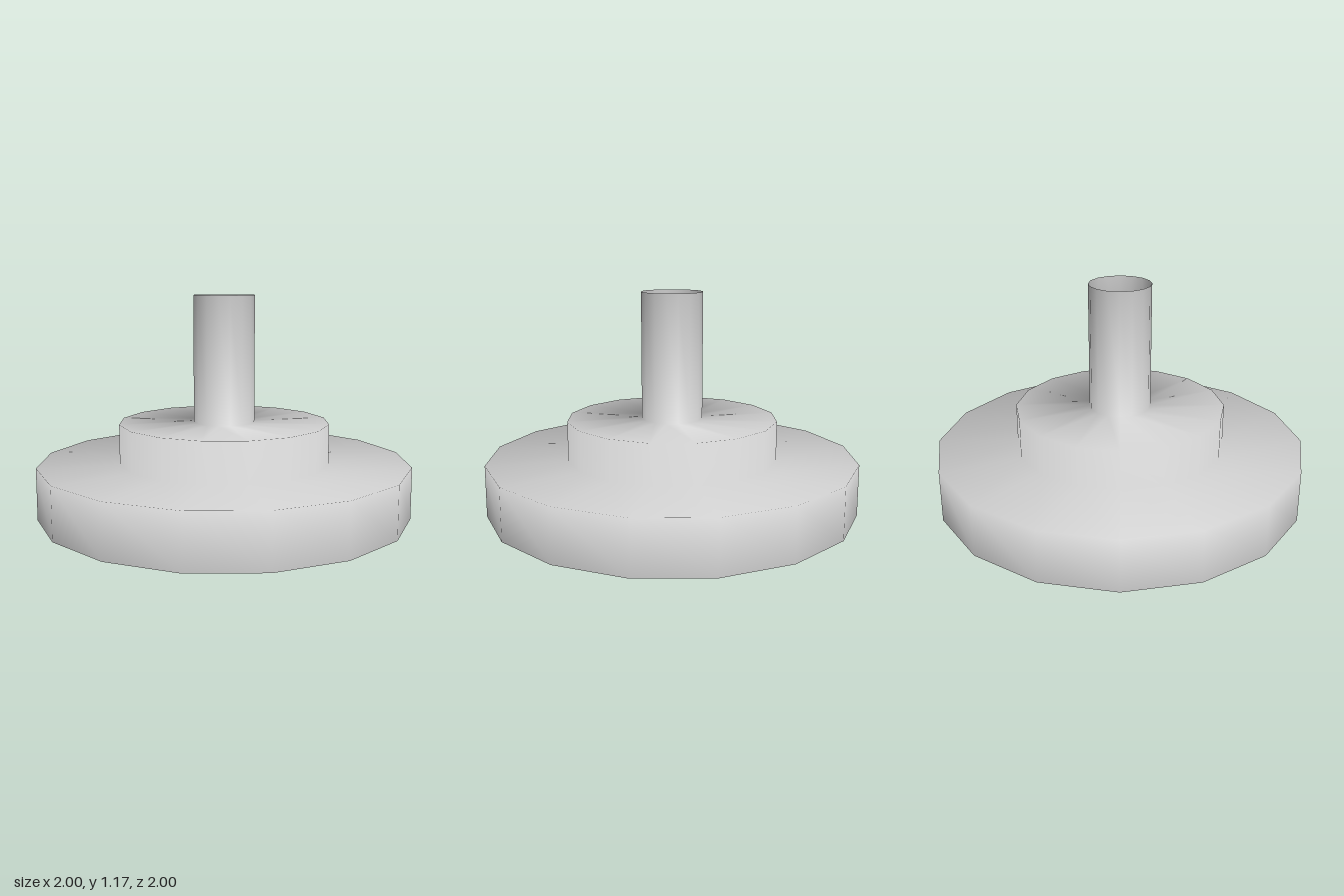
import * as THREE from 'three';

export function createModel() {
  const group = new THREE.Group();
  group.name = 'steppedFunnel';

  // Thin open shell: wide rim, shoulder, then a narrow open neck
  const profile = [
    [1, 0], [1, 0.278],
    [0.565, 0.278], [0.565, 0.493],
    [0.165, 0.493], [0.165, 1.17],
  ].map(([r, y]) => new THREE.Vector2(r, y));

  const shell = new THREE.Mesh(
    new THREE.LatheGeometry(profile, 16),
    new THREE.MeshStandardMaterial({ color: 0xcccccc, side: THREE.DoubleSide })
  );
  shell.name = 'steppedShell';
  group.add(shell);
  return group;
}
